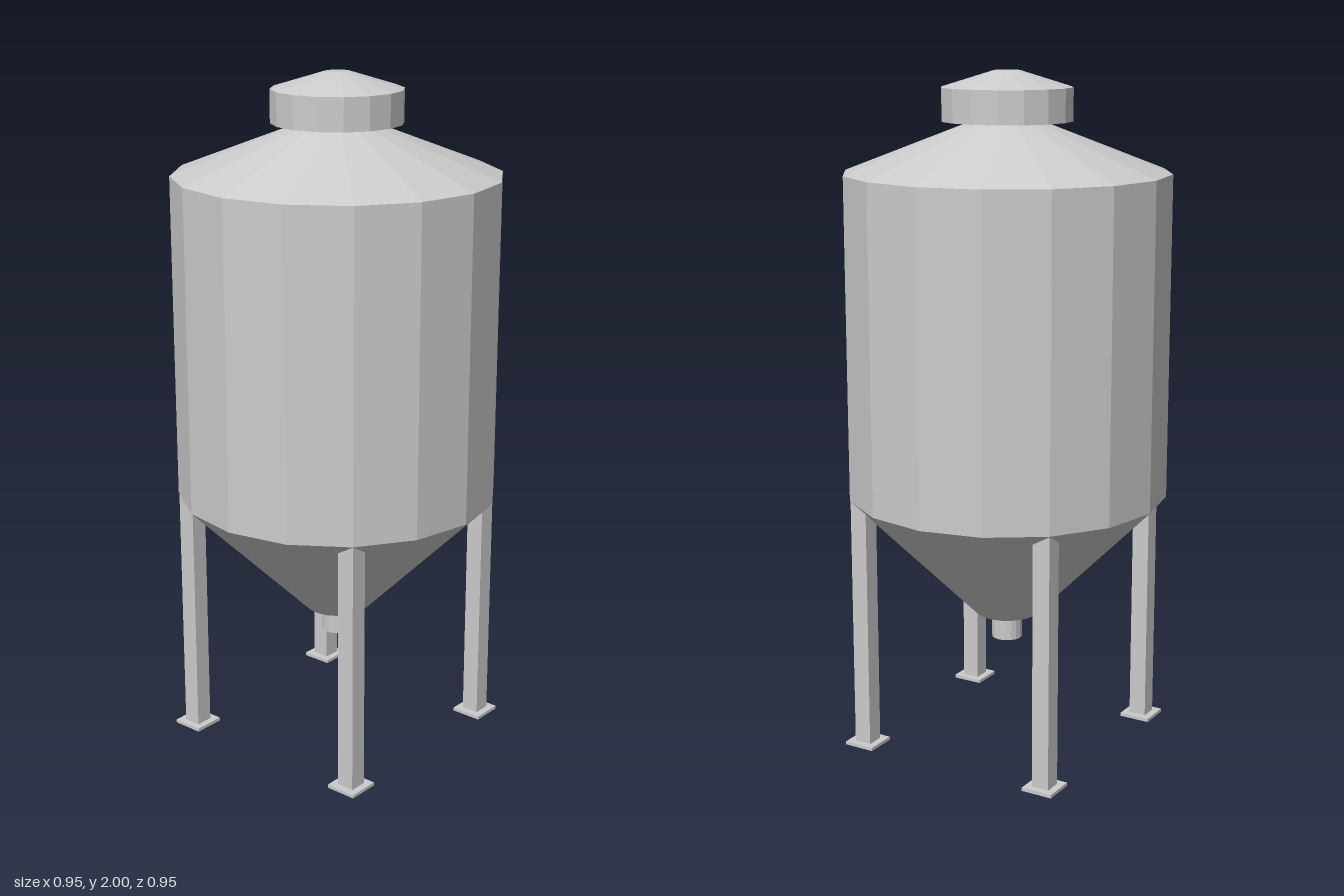
import * as THREE from 'three';

const SIDES = 16;

export function createModel() {
  const model = new THREE.Group();
  model.name = 'hopperTank';
  const material = new THREE.MeshStandardMaterial({ color: 0xcccccc, flatShading: true });

  // Closed faceted solid of revolution; profile runs from bottom to top as [radius, y]
  const turned = (name, profile) => {
    const points = profile.map(([r, y]) => new THREE.Vector2(r, y));
    const mesh = new THREE.Mesh(new THREE.LatheGeometry(points, SIDES), material);
    mesh.name = name;
    model.add(mesh);
  };

  // Tank: hopper cone, straight wall and sloping roof
  turned('tank', [[0, 0.385], [0.095, 0.385], [0.475, 0.765], [0.475, 1.713], [0.095, 1.86], [0, 1.86]]);
  // Outlet below the hopper
  turned('outletSpout', [[0, 0.305], [0.046, 0.305], [0.046, 0.385], [0, 0.385]]);
  // Filling hatch with a shallow conical lid
  turned('hatchCollar', [[0, 1.858], [0.19, 1.858], [0.19, 1.953], [0, 1.953]]);
  turned('hatchLid', [[0, 1.953], [0.19, 1.953], [0.038, 2], [0, 2]]);

  // Four square legs, each on a foot plate
  const box = (name, width, bottom, top) => {
    const geometry = new THREE.BoxGeometry(width, top - bottom, width);
    geometry.translate(0, (top + bottom) / 2, 0);
    const mesh = new THREE.Mesh(geometry, material);
    mesh.name = name;
    return mesh;
  };
  for (const [x, sideName] of [[1, 'Left'], [-1, 'Right']]) {
    for (const [z, endName] of [[1, 'front'], [-1, 'back']]) {
      const leg = new THREE.Group();
      leg.name = `${endName}${sideName}Leg`;
      leg.add(box('legPost', 0.053, 0.01, 0.77), box('footPlate', 0.095, 0, 0.01));
      leg.position.set(x * 0.308, 0, z * 0.308);
      model.add(leg);
    }
  }

  return model;
}
